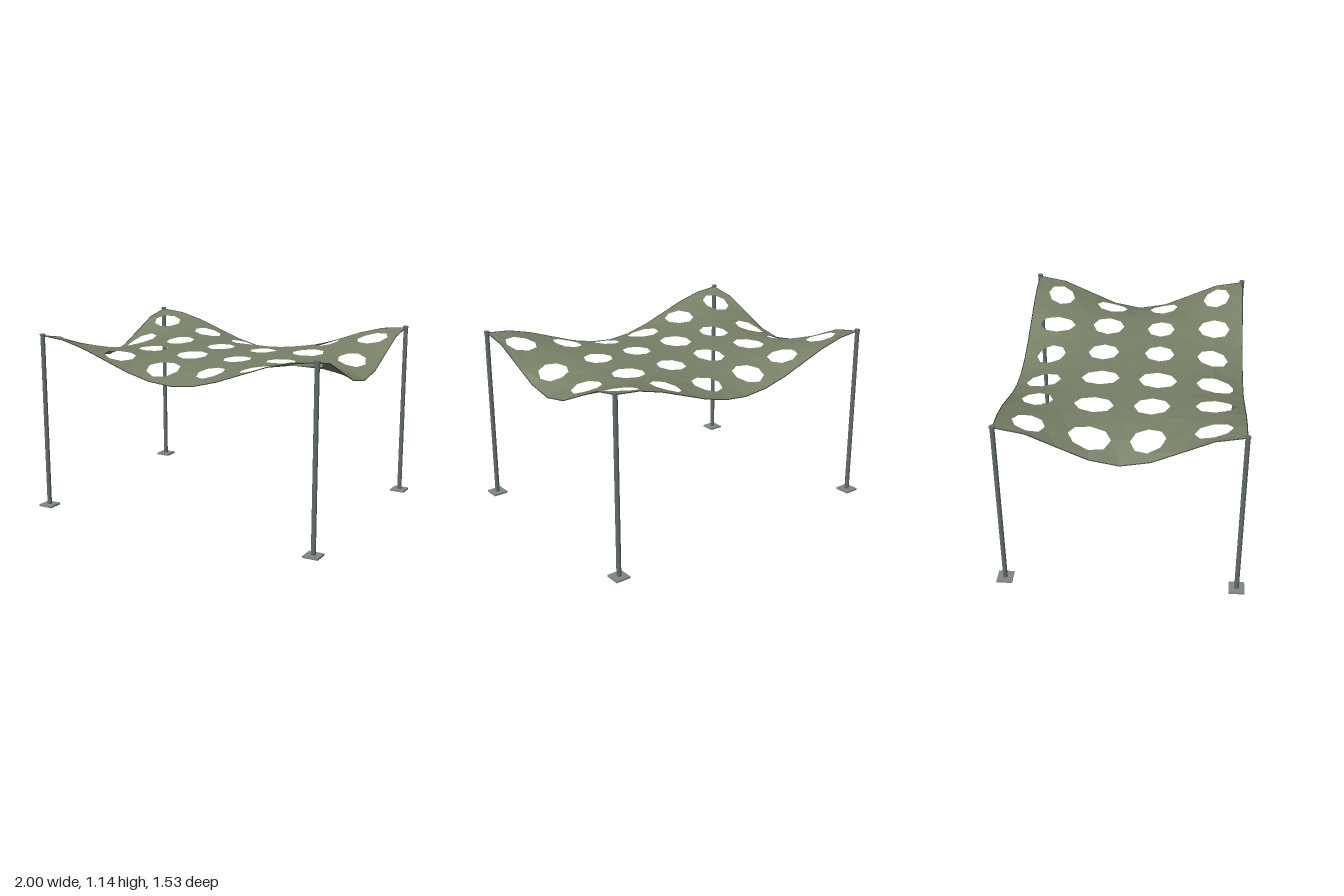
import * as THREE from 'three';

const HX = 0.95, HZ = 0.715;            // half spans of the canopy
const CORNER = 1.13, SAG = 0.23;

const netMat = new THREE.MeshStandardMaterial({ name: 'olive fabric', color: 0x788067, flatShading: true, side: THREE.DoubleSide });
const hemMat = new THREE.MeshStandardMaterial({ name: 'dark hem', color: 0x3f4842 });
const steelMat = new THREE.MeshStandardMaterial({ name: 'grey steel', color: 0x626b6b });
const plateMat = new THREE.MeshStandardMaterial({ name: 'light steel', color: 0x808686 });

// Height of a sagging edge, t from -1 to 1
const edge = (t) => CORNER - SAG / 2 * (1 + Math.cos(Math.PI * t));

// Relax a stretched membrane between the four sagging edges and return its height function
function makeHeight() {
  const NX = 48, NZ = 32, W = NX + 1;   // multiples of the edge segments
  const h = new Float64Array(W * (NZ + 1)).fill(0.99);
  for (let i = 0; i <= NX; i++) h[i] = h[NZ * W + i] = edge(2 * i / NX - 1);
  for (let j = 0; j <= NZ; j++) h[j * W] = h[j * W + NX] = edge(2 * j / NZ - 1);
  for (let pass = 0; pass < 800; pass++)
    for (let j = 1; j < NZ; j++)
      for (let i = 1; i < NX; i++) {
        const k = j * W + i;
        h[k] = (h[k - 1] + h[k + 1] + h[k - W] + h[k + W]) / 4;
      }
  return (x, z) => {
    const u = THREE.MathUtils.clamp(x / HX, -1, 1), v = THREE.MathUtils.clamp(z / HZ, -1, 1);
    const fx = (u + 1) / 2 * NX, fz = (v + 1) / 2 * NZ;
    const i = Math.min(Math.floor(fx), NX - 1), j = Math.min(Math.floor(fz), NZ - 1);
    const k = j * W + i, { lerp } = THREE.MathUtils;
    const crown = 0.023 * (1 - u ** 4) * (1 - v ** 4);   // the middle is pulled slightly up
    return crown + lerp(lerp(h[k], h[k + 1], fx - i), lerp(h[k + W], h[k + W + 1], fx - i), fz - j);
  };
}

// Hole extents in hundredths, row by row from the back: x0, x1, z0, z1
const HOLES = [
  [-90, -71, -63, -44, -56, -37, -63, -44, -26, -8, -65, -43, 6, 25, -63, -44, 39, 54, -65, -41, 68, 89, -63, -45],
  [-89, -71, -31, -6, -57, -40, -31, -7, -24, -7, -30, -6, 7, 25, -29, -9, 38, 59, -29, -8, 70, 88, -29, -8],
  [-89, -71, 5, 26, -57, -39, 5, 27, -26, -7, 6, 30, 7, 25, 8, 27, 37, 56, 8, 26, 70, 89, 8, 27],
  [-89, -73, 42, 64, -57, -39, 42, 66, -26, -6, 42, 66, 8, 25, 42, 62, 38, 56, 42, 63, 70, 91, 45, 63],
];

// Canopy: a grid of cells, each a coarse faceted ring from an eight-sided hole to the cell border
function makeCanopy(height) {
  const pos = [], index = [], N = 8;
  const cw = HX / 6, cd = HZ / 4;       // half cell sizes
  HOLES.forEach((row, j) => {
    for (let i = 0; i < 6; i++) {
      const [x0, x1, z0, z1] = row.slice(i * 4, i * 4 + 4).map((v) => v / 100);
      const cx = -HX + (2 * i + 1) * cw, cz = -HZ + (2 * j + 1) * cd;
      const start = pos.length / 3;
      const put = (x, z) => pos.push(x, height(x, z), z);
      for (let s = 0; s < N; s++) {
        const a = s / N * Math.PI * 2, c = Math.cos(a), d = Math.sin(a);
        put((x0 + x1) / 2 + c * (x1 - x0) / 2, (z0 + z1) / 2 + d * (z1 - z0) / 2);
        put(cx + Math.round(c) * cw, cz + Math.round(d) * cd);
        const p = start + 2 * s, q = start + 2 * ((s + 1) % N);
        // split each quad from the cell corner
        if (s % 2) index.push(p, q, p + 1, q, q + 1, p + 1);
        else index.push(p, q + 1, p + 1, p, q, q + 1);
      }
    }
  });
  const geo = new THREE.BufferGeometry();
  geo.setAttribute('position', new THREE.Float32BufferAttribute(pos, 3));
  geo.setIndex(index);
  geo.computeVertexNormals();
  return geo;
}

// Thin cord through evenly spaced points, matching the segments of the canopy edge
function makeCord(segments, point) {
  const curve = new THREE.Curve();
  curve.getPoint = curve.getPointAt = (t) => point(2 * t - 1);
  return new THREE.TubeGeometry(curve, segments, 0.003, 6);
}

export function createModel() {
  const model = new THREE.Group();
  model.name = 'canopyShelter';
  const add = (parent, name, geo, mat, x = 0, y = 0, z = 0) => {
    const mesh = new THREE.Mesh(geo, mat);
    mesh.name = name;
    mesh.position.set(x, y, z);
    parent.add(mesh);
  };

  add(model, 'canopy', makeCanopy(makeHeight()), netMat);

  // Edge cords along the four sides
  for (const s of [-1, 1]) {
    add(model, s > 0 ? 'frontCord' : 'backCord', makeCord(12, (t) => new THREE.Vector3(t * HX, edge(t), s * HZ)), hemMat);
    add(model, s > 0 ? 'leftCord' : 'rightCord', makeCord(8, (t) => new THREE.Vector3(s * HX, edge(t), t * HZ)), hemMat);
  }

  // Four posts with base plates and caps
  const postGeo = new THREE.CylinderGeometry(0.0145, 0.0145, 1.13, 12);
  const capGeo = new THREE.CylinderGeometry(0.018, 0.018, 0.01, 12);
  const plateGeo = new THREE.BoxGeometry(0.096, 0.012, 0.096);
  for (const sx of [-1, 1])
    for (const sz of [-1, 1]) {
      const post = new THREE.Group();
      post.name = (sz > 0 ? 'front' : 'back') + (sx > 0 ? 'Left' : 'Right') + 'Post';
      post.position.set(sx * 0.952, 0, sz * HZ);
      add(post, 'pole', postGeo, steelMat, 0, 0.57, 0);
      add(post, 'cap', capGeo, steelMat, 0, 1.136, 0);
      add(post, 'basePlate', plateGeo, plateMat, 0, 0.006, 0);
      model.add(post);
    }
  return model;
}
